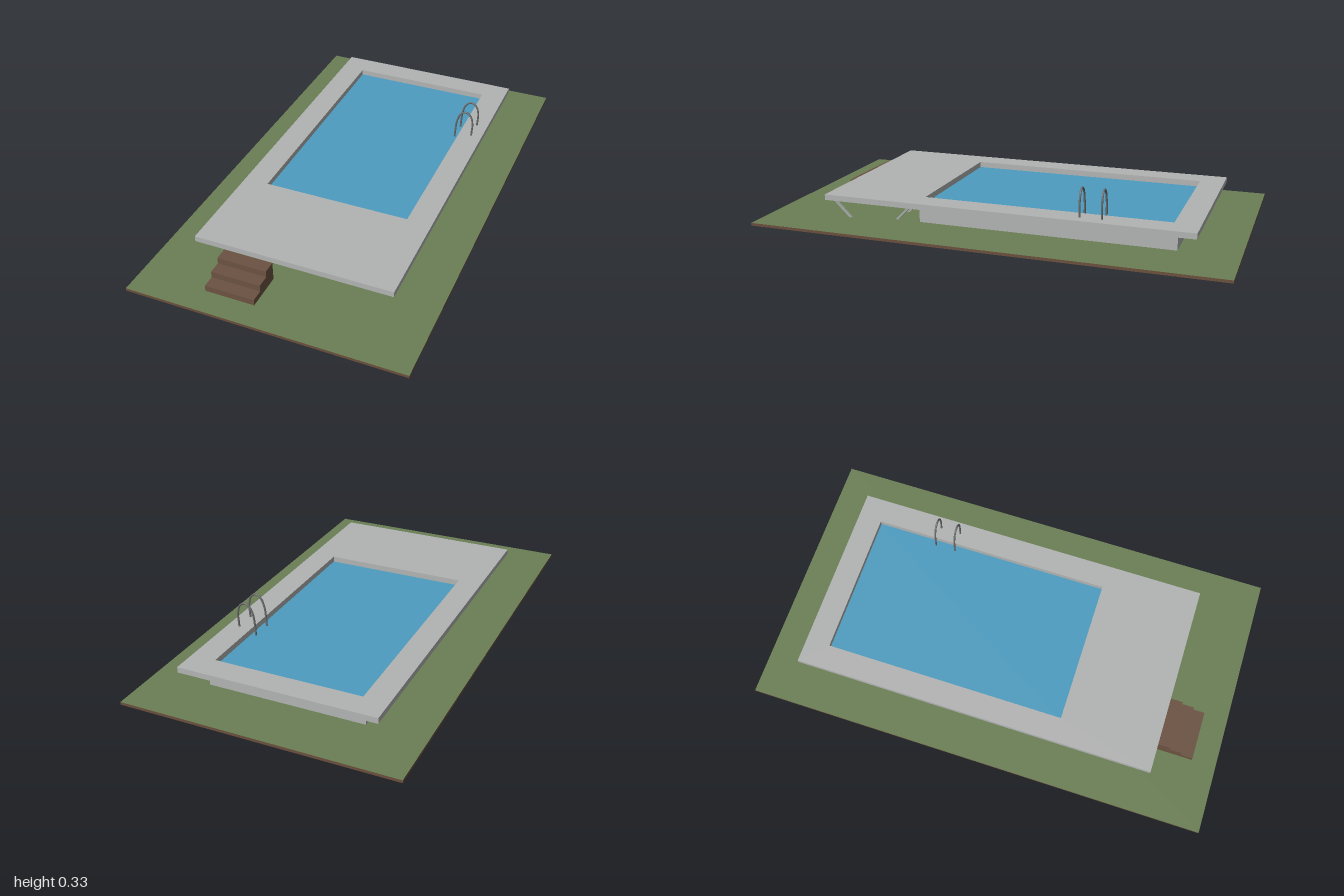
import * as THREE from 'three';

const mat = (name, color) => {
  const m = new THREE.MeshStandardMaterial({ color });
  m.name = name;
  return m;
};

export function createModel() {
  const grass = mat('grass green', 0x6b7f54);
  const soil = mat('soil brown', 0x6a4f3c);
  const timber = mat('timber brown', 0x6b5242);
  const concrete = mat('concrete grey', 0xb2b4b3);
  const steel = mat('support grey', 0xa6aaa9);
  const rail = mat('rail dark grey', 0x6c6c6c);
  const basinBlue = mat('basin blue', 0x2f70ab);
  const waterBlue = mat('water blue', 0x4d9cc0);

  const model = new THREE.Group();
  model.name = 'raisedPool';

  const add = (name, geometry, material, parent = model) => {
    const mesh = new THREE.Mesh(geometry, material);
    mesh.name = name;
    parent.add(mesh);
    return mesh;
  };
  // Box given by its minimum and maximum corners
  const box = (name, [x0, y0, z0], [x1, y1, z1], material) => {
    const g = new THREE.BoxGeometry(x1 - x0, y1 - y0, z1 - z0);
    g.translate((x0 + x1) / 2, (y0 + y1) / 2, (z0 + z1) / 2);
    return add(name, g, material);
  };
  const rect = (Type, x0, z0, x1, z1) => new Type([
    new THREE.Vector2(x0, -z0), new THREE.Vector2(x0, -z1),
    new THREE.Vector2(x1, -z1), new THREE.Vector2(x1, -z0),
  ]);
  // Rectangular slab with the pool opening cut through it
  const slab = (name, x, z0, z1, y0, y1, material) => {
    const shape = rect(THREE.Shape, -x, z0, x, z1);
    shape.holes.push(rect(THREE.Path, -0.315, -0.735, 0.315, 0.315));
    const g = new THREE.ExtrudeGeometry(shape, { depth: y1 - y0, bevelEnabled: false });
    g.rotateX(-Math.PI / 2).translate(0, y0, 0);
    return add(name, g, material);
  };
  // Square bar between two points
  const bar = (name, from, to, size, parent) => {
    const a = new THREE.Vector3(...from), b = new THREE.Vector3(...to);
    const mesh = add(name, new THREE.BoxGeometry(size, size, a.distanceTo(b)), steel, parent);
    mesh.position.copy(a).add(b).multiplyScalar(0.5);
    mesh.lookAt(b);
  };

  // Ground: soil slab with a green top face
  const ground = new THREE.BoxGeometry(1.16, 0.012, 2);
  ground.translate(0, 0.1, 0);
  add('ground', ground, [soil, soil, grass, soil, soil, soil]);

  // Basin, water and the raised surround
  box('basin', [-0.315, 0, -0.735], [0.315, 0.183, 0.315], basinBlue);
  const water = new THREE.PlaneGeometry(0.63, 1.05).rotateX(-Math.PI / 2);
  add('water', water, waterBlue).position.set(0, 0.187, -0.21);
  slab('poolWall', 0.335, -0.755, 0.335, 0.105, 0.189, concrete);
  slab('deck', 0.42, -0.84, 0.735, 0.188, 0.212, concrete);

  // Timber steps, extruded from their side profile
  const profile = new THREE.Shape([
    [0.735, 0.105], [0.895, 0.105], [0.895, 0.132], [0.843, 0.132],
    [0.843, 0.16], [0.79, 0.16], [0.79, 0.187], [0.735, 0.187],
  ].map(([z, y]) => new THREE.Vector2(-z, y)).reverse());
  const steps = new THREE.ExtrudeGeometry(profile, { depth: 0.21, bevelEnabled: false });
  steps.rotateY(Math.PI / 2).translate(-0.29, 0, 0);
  add('steps', steps, timber);

  // Slanted supports below the deck
  const supports = new THREE.Group();
  supports.name = 'supports';
  model.add(supports);
  for (const x of [-0.37, -0.12, 0.12, 0.37]) {
    bar('frontLeg', [x, 0.104, 0.64], [x, 0.19, 0.728], 0.009, supports);
  }
  for (let i = -3; i <= 3; i++) {
    const x = i * 0.11;
    bar('wallBrace', [x, 0.104, 0.445], [x, 0.19, 0.358], 0.009, supports);
    bar('backBrace', [x, 0.16, -0.752], [x, 0.19, -0.802], 0.008, supports);
  }
  for (let i = 0; i < 6; i++) {
    const z = 0.31 - i * 0.206;
    for (const s of [-1, 1]) {
      bar('sideBrace', [s * 0.332, 0.162, z], [s * 0.376, 0.19, z], 0.008, supports);
    }
  }

  // Pair of arched ladder rails
  const arch = new THREE.CatmullRomCurve3([
    [0.293, 0.18], [0.295, 0.225], [0.3, 0.272], [0.315, 0.31], [0.339, 0.325],
    [0.363, 0.308], [0.373, 0.27], [0.372, 0.235], [0.37, 0.205],
  ].map(([x, y]) => new THREE.Vector3(x, y, 0)));
  for (const z of [-0.372, -0.462]) {
    add('ladderRail', new THREE.TubeGeometry(arch, 40, 0.0042, 8), rail).position.z = z;
  }
  return model;
}
